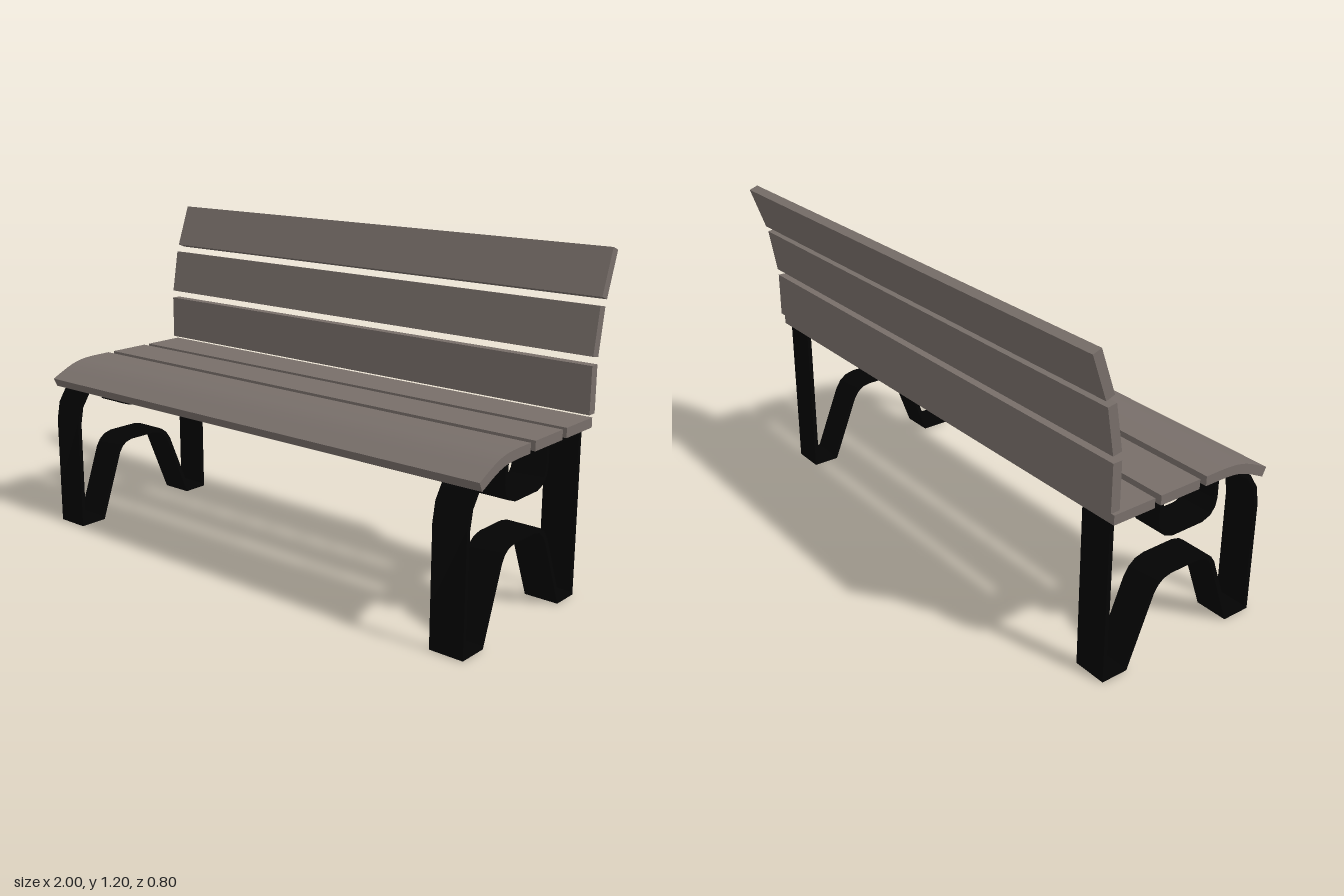
import * as THREE from 'three';
import { toCreasedNormals } from 'three/addons/utils/BufferGeometryUtils.js';

const wood = new THREE.MeshStandardMaterial({ name: 'weathered wood', color: 0x776e69 });
const iron = new THREE.MeshStandardMaterial({ name: 'black iron', color: 0x030303 });

// Moves a closed or open line of points to its left by d, with mitred corners
function offsetLine(points, d, closed) {
  const n = points.length;
  const normal = (a, b) => new THREE.Vector2(a.y - b.y, b.x - a.x).normalize();
  return points.map((p, i) => {
    const prev = points[closed ? (i + n - 1) % n : Math.max(i - 1, 0)];
    const next = points[closed ? (i + 1) % n : Math.min(i + 1, n - 1)];
    const n1 = prev === p ? normal(p, next) : normal(prev, p);
    const n2 = next === p ? n1 : normal(p, next);
    const m = n1.clone().add(n2).normalize();
    return p.clone().addScaledVector(m, d / m.dot(n1));
  });
}

// Extrudes a (z, y) profile along x, centred on x = 0
function extrudeAcross(shape, width) {
  const g = new THREE.ExtrudeGeometry(shape, { depth: width, bevelEnabled: false });
  g.translate(0, 0, -width / 2).rotateY(-Math.PI / 2);
  return toCreasedNormals(g, Math.PI / 6);
}

const toVectors = (list) => list.map(([z, y]) => new THREE.Vector2(z, y));

// Centre line of the flat iron band that forms each leg frame, as (z, y)
const BAND = toVectors([
  [0.391, 0.008], [0.293, 0.008],
  [0.2, 0.264], [0.184, 0.288], [0.162, 0.304], [0.13, 0.312],
  [0.003, 0.312], [-0.032, 0.304], [-0.057, 0.285], [-0.076, 0.257],
  [-0.178, 0.008], [-0.268, 0.008], [-0.268, 0.59], [-0.059, 0.59],
  [-0.059, 0.517], [-0.051, 0.489], [-0.034, 0.468], [-0.003, 0.456],
  [0.13, 0.456], [0.163, 0.468], [0.18, 0.489], [0.187, 0.517],
  [0.187, 0.59], [0.229, 0.588], [0.293, 0.575],
  [0.343, 0.541], [0.378, 0.488], [0.391, 0.421],
]);

// Hollow leg frame: a closed iron band, open at the sides.
// The hole runs the opposite way round, so its walls face inwards.
function legGeometry() {
  const shape = new THREE.Shape(offsetLine(BAND, 0.008, true));
  shape.holes.push(new THREE.Path(offsetLine(BAND, -0.008, true).reverse()));
  return extrudeAcross(shape, 0.127);
}

// Front seat slat, flat at the back and rolling down over the front edge
function frontSlatGeometry() {
  const curve = new THREE.SplineCurve(toVectors([
    [0.178, 0.639], [0.229, 0.636], [0.275, 0.627], [0.323, 0.609], [0.386, 0.579],
  ]));
  const top = [new THREE.Vector2(0.102, 0.639), ...curve.getPoints(14)];
  const bottom = offsetLine(top, -0.035, false);
  return extrudeAcross(new THREE.Shape([...top, ...bottom.reverse()]), 2);
}

export function createModel() {
  const bench = new THREE.Group();
  bench.name = 'bench';

  const add = (name, geometry, material) => {
    const mesh = new THREE.Mesh(geometry, material);
    mesh.name = name;
    bench.add(mesh);
    return mesh;
  };

  // Leg frames
  const leg = legGeometry();
  add('leftLegFrame', leg, iron).position.x = 0.907;
  add('rightLegFrame', leg, iron).position.x = -0.907;

  // Seat
  add('frontSeatSlat', frontSlatGeometry(), wood);
  const seatSlat = new THREE.BoxGeometry(2, 0.035, 0.168);
  add('middleSeatSlat', seatSlat, wood).position.set(0, 0.6215, -0.011);
  add('rearSeatSlat', seatSlat, wood).position.set(0, 0.6215, -0.205);

  // Backrest slats, each leaning further back
  const backSlat = new THREE.BoxGeometry(2, 0.168, 0.035);
  [
    ['lowerBackSlat', 0.734, -0.286, 0],
    ['middleBackSlat', 0.928, -0.303, 10],
    ['upperBackSlat', 1.115, -0.355, 20],
  ].forEach(([name, y, z, lean]) => {
    const slat = add(name, backSlat, wood);
    slat.position.set(0, y, z);
    slat.rotation.x = -THREE.MathUtils.degToRad(lean);
  });

  return bench;
}
